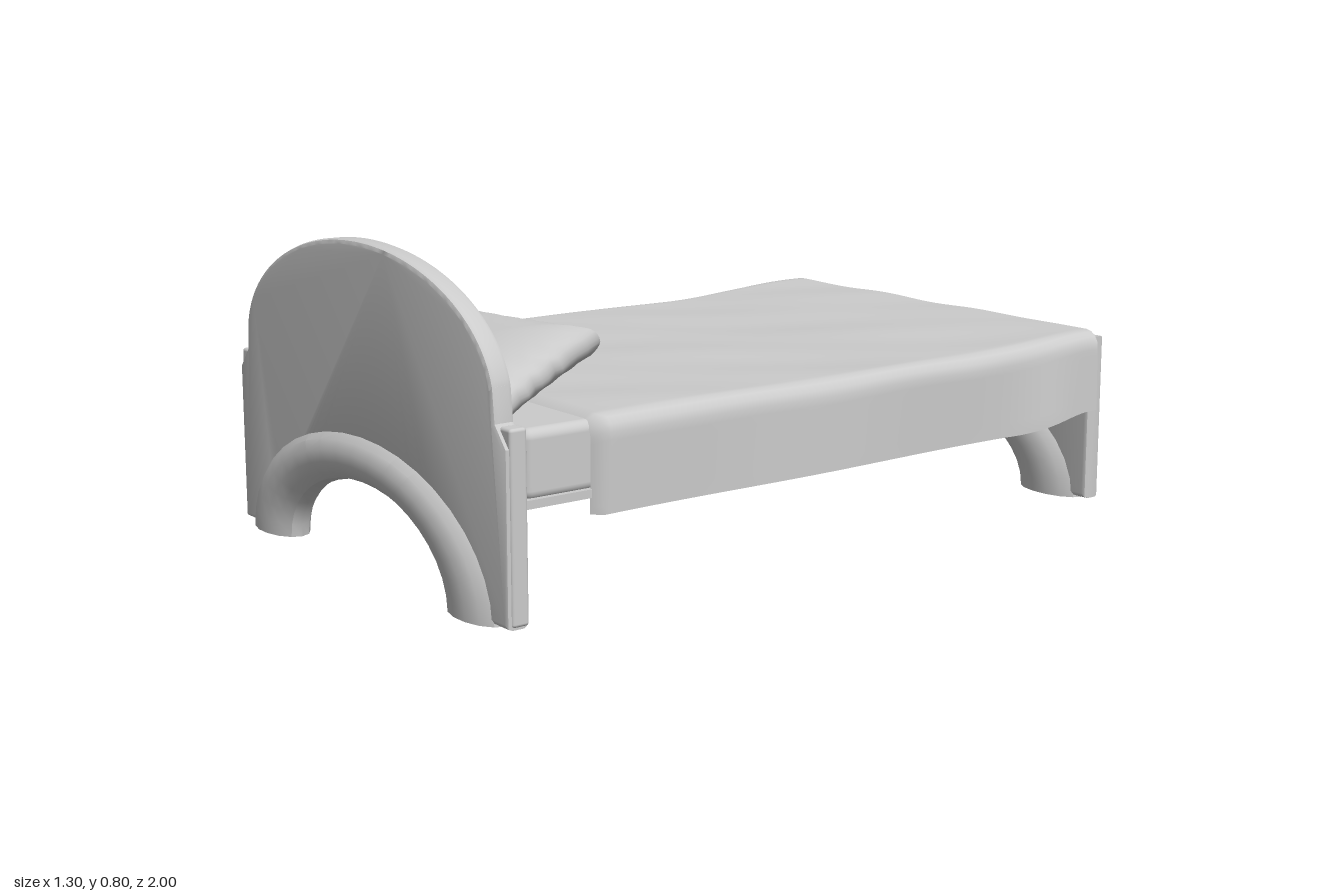
import * as THREE from 'three';
import { toCreasedNormals } from 'three/addons/utils/BufferGeometryUtils.js';
import { RoundedBoxGeometry } from 'three/addons/geometries/RoundedBoxGeometry.js';

const grey = new THREE.MeshStandardMaterial({ color: 0xcccccc });
const cloth = new THREE.MeshStandardMaterial({ color: 0xcccccc, side: THREE.DoubleSide });

function add(parent, name, geometry, x = 0, y = 0, z = 0, material = grey) {
  const mesh = new THREE.Mesh(geometry, material);
  mesh.name = name;
  mesh.position.set(x, y, z);
  parent.add(mesh);
  return mesh;
}

// Moves every vertex by a rule, then smooths
function reshape(geometry, rule) {
  const p = geometry.attributes.position;
  const v = new THREE.Vector3();
  for (let i = 0; i < p.count; i++) {
    rule(v.fromBufferAttribute(p, i));
    p.setXYZ(i, v.x, v.y, v.z);
  }
  geometry.computeVertexNormals();
  return geometry;
}

// Board with an arched opening, bevelled all round; `top` draws its upper outline
function boardGeometry(halfWidth, top) {
  const s = new THREE.Shape();
  s.moveTo(0.45, 0.005);
  s.lineTo(halfWidth, 0.005);
  top(s);
  s.lineTo(-halfWidth, 0.005);
  s.lineTo(-0.45, 0.005);
  s.absellipse(0, 0.005, 0.45, 0.26, Math.PI, 0, true);
  const g = new THREE.ExtrudeGeometry(s, {
    depth: 0.031, bevelThickness: 0.012, bevelSize: 0.012, bevelOffset: -0.012, bevelSegments: 2, curveSegments: 32,
  });
  g.translate(0, 0, -0.0155);
  return toCreasedNormals(g, 0.5);
}

// Fat half-elliptical arch with an oval section, forming the legs
function archGeometry() {
  const g = new THREE.TorusGeometry(2, 1, 14, 20, Math.PI);
  const p = g.attributes.position;
  for (let i = 0; i < p.count; i++) {
    const x = p.getX(i), y = p.getY(i), r = Math.hypot(x, y);
    const k = r - 2;
    p.setXYZ(i, (x / r) * (0.475 + 0.107 * k), (y / r) * (0.274 + 0.063 * k), p.getZ(i) * 0.057);
  }
  return toCreasedNormals(g, 0.45);
}

function addEnd(parent, name, z, halfWidth, top) {
  const end = new THREE.Group();
  end.name = name;
  end.position.z = z;
  add(end, name + 'Panel', boardGeometry(halfWidth, top));
  add(end, name + 'LegArch', archGeometry());
  // closed soles of the legs
  for (const side of [-1, 1]) {
    const sole = add(end, 'legSole', new THREE.CircleGeometry(1, 14), side * 0.475, 0.001, 0);
    sole.rotation.x = Math.PI / 2;
    sole.scale.set(0.107, 0.057, 1);
  }
  parent.add(end);
  return end;
}

// Bedspread: flat top, rounded edges and hanging sides, gently rumpled
function blanketGeometry() {
  const flat = 0.59, r = 0.042, turn = r * Math.PI / 2;
  return reshape(new THREE.PlaneGeometry(2, 2, 90, 84), (v) => {
    const side = Math.sign(v.x), t = (1 - v.y) / 2;
    const zEnd = side < 0 ? 0.70 : 0.72;
    const z = -0.935 + v.x * 0.012 + t * (zEnd + 0.935);
    const foot = THREE.MathUtils.smoothstep(-z, 0.4, 0.9);
    const T = 0.452 + 0.02 * foot;
    const hem = (side < 0 ? 0.212 : 0.226) + 0.03 * THREE.MathUtils.smoothstep(-z, 0.6, 0.92);
    const d = Math.abs(v.x) * (flat + turn + T - r - hem);
    let x, y;
    if (d < flat) {
      x = d;
      y = T;
    } else if (d < flat + turn) {
      const a = (d - flat) / r;
      x = flat + r * Math.sin(a);
      y = T - r + r * Math.cos(a);
    } else {
      x = flat + r;
      y = T - r - (d - flat - turn);
    }
    const fall = THREE.MathUtils.clamp((T - y) / 0.22, 0, 1);
    // folds flare outward near the foot
    x += fall * (0.004 * Math.sin(z * 7 + side) + 0.022 * foot * (0.55 + 0.45 * Math.sin(z * 17 + side)));
    y += (1 - fall) * (0.003 * Math.sin(5 * z + 4 * v.x) * Math.cos(7 * v.x - 3 * z)
      + 0.0025 * Math.sin(13 * z + 6 * v.x) * Math.sin(9 * v.x));
    // the head end turns under
    if (t > 0.995) {
      x -= fall > 0 ? 0.025 : 0;
      y -= 0.015 * (1 - fall);
    }
    v.set(side * x, y, z);
  });
}

// Cushion with pinched corners and concave edges, folded from a rounded cube
function pillowGeometry(w, h, thick, seed) {
  const g = new THREE.SphereGeometry(1, 48, 32);
  g.rotateX(Math.PI / 2);
  return reshape(g, (v) => {
    // spread the round outline into a square one
    const r = Math.hypot(v.x, v.y);
    const m = Math.max(Math.abs(v.x), Math.abs(v.y)) || 1;
    const a = v.x * Math.pow(r / m, 0.9), b = v.y * Math.pow(r / m, 0.9);
    const puff = Math.sign(v.z) * Math.pow(Math.abs(v.z), 0.85);
    const edge = Math.pow(r, 6);
    const crease = 0.004 * edge * Math.sin(22 * a + seed) * Math.cos(17 * b + seed);
    v.set(
      a * w / 2 * (1 - 0.09 * (1 - b * b)),
      b * h / 2 * (1 - 0.09 * (1 - a * a)),
      puff * thick / 2 + crease + 0.008 * a * b,
    );
  });
}

export function createModel() {
  const bed = new THREE.Group();
  bed.name = 'bed';

  // Headboard with an arched crown and shouldered posts
  const head = addEnd(bed, 'headboard', 0.943, 0.63, (s) => {
    s.lineTo(0.63, 0.41);
    s.lineTo(0.588, 0.46);
    s.lineTo(0.58, 0.54);
    s.absellipse(0, 0.5, 0.585, 0.3, 0.134, Math.PI - 0.134, false);
    s.lineTo(-0.588, 0.46);
    s.lineTo(-0.63, 0.41);
  });
  for (const side of [-1, 1]) {
    add(head, 'headPost', new RoundedBoxGeometry(0.045, 0.445, 0.045, 2, 0.008), side * 0.612, 0.2325, -0.005);
  }

  // Straight-topped footboard
  addEnd(bed, 'footboard', -0.943, 0.615, (s) => {
    s.lineTo(0.615, 0.452);
    s.lineTo(-0.615, 0.452);
  });

  // Base board and mattress
  add(bed, 'baseBoard', new THREE.BoxGeometry(1.22, 0.02, 1.83), 0, 0.274, 0);
  add(bed, 'mattress', new RoundedBoxGeometry(1.2, 0.165, 1.81, 4, 0.025), 0, 0.357, -0.005);

  add(bed, 'blanket', blanketGeometry(), 0, 0, 0, cloth);

  // Pillows leaning on the headboard
  [[-0.235, 0.79, 0.49, 0.29], [0.275, 0.778, 0.50, 0.32]].forEach(([x, z, w, h], i) => {
    const pillow = add(bed, i ? 'leftPillow' : 'rightPillow', pillowGeometry(w, h, 0.145, i * 2), x, 0.532, z);
    pillow.rotation.set(-Math.PI / 2 - 0.48, 0, i ? -0.03 : 0.03);
    pillow.rotation.x += Math.PI;
    pillow.rotation.x = Math.PI / 2 + 0.42;
  });

  return bed;
}
